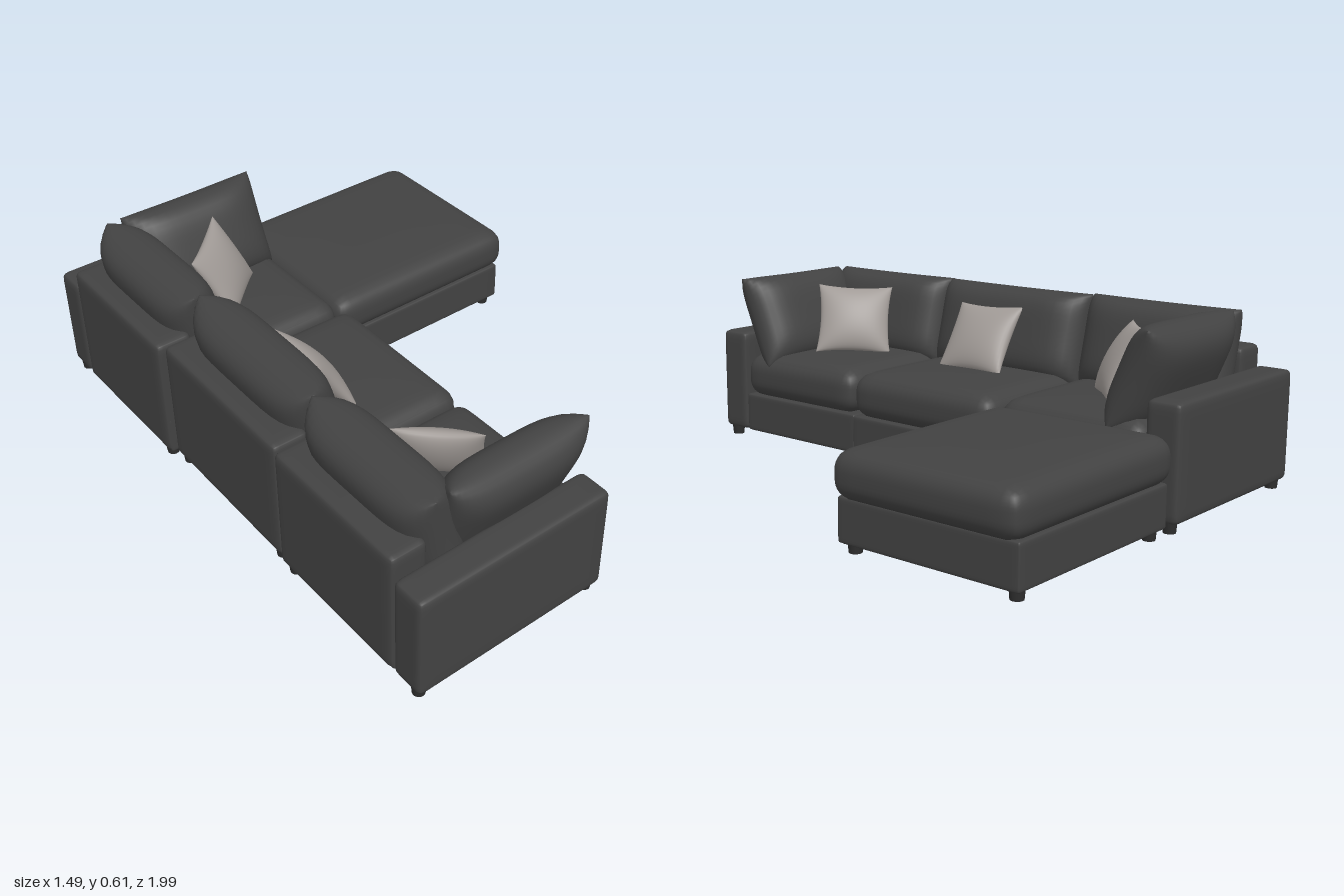
import * as THREE from 'three';
import { mergeVertices } from 'three/addons/utils/BufferGeometryUtils.js';

const mat = (name, color) => {
  const m = new THREE.MeshStandardMaterial({ color });
  m.name = name;
  return m;
};

// Move every vertex of a geometry by a rule, then weld and smooth it.
function reshape(geometry, rule) {
  geometry.deleteAttribute('uv');
  geometry.deleteAttribute('normal');
  const pos = geometry.attributes.position;
  const v = new THREE.Vector3();
  for (let i = 0; i < pos.count; i++) {
    rule(v.fromBufferAttribute(pos, i));
    pos.setXYZ(i, v.x, v.y, v.z);
  }
  const welded = mergeVertices(geometry, 1e-5);
  welded.computeVertexNormals();
  return welded;
}

const ease = s => Math.sin(s * Math.PI / 2);

// Upholstered block: rounded edges, optionally a crowned top.
function softBox(w, h, d, r, crown = 0) {
  const half = new THREE.Vector3(w / 2, h / 2, d / 2);
  const limit = half.clone().subScalar(r);
  const low = limit.clone().negate();
  const inner = new THREE.Vector3();
  return reshape(new THREE.BoxGeometry(2, 2, 2, 16, 16, 16), p => {
    p.set(ease(p.x), ease(p.y), ease(p.z));
    const bulge = p.y > 0 ? crown * p.y * (1 - p.x ** 4) * (1 - p.z ** 4) : 0;
    p.multiply(half);
    inner.copy(p).clamp(low, limit);
    p.sub(inner).setLength(r).add(inner);
    p.y += bulge;
  });
}

// Stuffed cushion: thick in the middle, thin at the seams, edges pulled in.
function pillow(w, h, t, power, pinch) {
  return reshape(new THREE.BoxGeometry(2, 2, 2, 20, 20, 1), p => {
    const u = ease(p.x), v = ease(p.y);
    const full = Math.max(0, (1 - Math.abs(u) ** power) * (1 - Math.abs(v) ** power));
    p.set(
      u * (1 - pinch * (1 - v * v)) * w / 2,
      v * (1 - pinch * (1 - u * u)) * h / 2,
      p.z * Math.sqrt(full) * t / 2
    );
  });
}

export function createModel() {
  const fabric = mat('charcoalFabric', 0x424242);
  const linen = mat('paleLinen', 0xa09a96);
  const footPaint = mat('darkFeet', 0x2e2e2e);

  const model = new THREE.Group();
  model.name = 'cornerSofa';

  const add = (parent, name, geometry, material, x, y, z) => {
    const mesh = new THREE.Mesh(geometry, material);
    mesh.name = name;
    mesh.position.set(x, y, z);
    parent.add(mesh);
    return mesh;
  };

  // Cushion facing yaw degrees and leaning back by tilt degrees.
  const lean = (mesh, yaw, tilt, roll = 0) => {
    const rad = THREE.MathUtils.degToRad;
    mesh.rotation.set(rad(-tilt), rad(yaw), rad(roll), 'YXZ');
  };

  const section = (name, x, z, turn) => {
    const group = new THREE.Group();
    group.name = name;
    group.position.set(x, 0, z);
    group.rotation.y = turn;
    model.add(group);
    return group;
  };

  const footShape = new THREE.CylinderGeometry(0.023, 0.02, 0.035, 16);
  const addFeet = (group, dx, dz) => {
    for (const sx of [-1, 1]) for (const sz of [-1, 1])
      add(group, 'foot', footShape, footPaint, sx * dx, 0.0175, sz * dz);
  };

  // Seat section; arm is +1 or -1 for an arm on that z side, 0 for none.
  function seatSection(name, x, z, turn, arm) {
    const group = section(name, x, z, turn);
    const width = arm ? 0.55 : 0.62;
    const mid = -arm * 0.06;
    add(group, 'base', softBox(0.69, 0.14, width, 0.01), fabric, 0, 0.1, mid);
    add(group, 'backrest', softBox(0.13, 0.44, width, 0.022), fabric, -0.288, 0.25, mid);
    add(group, 'seatCushion', softBox(0.6, 0.155, width - 0.004, 0.06, 0.013), fabric, 0.06, 0.243, mid);
    lean(add(group, 'backCushion', pillow(width + 0.01, 0.325, 0.21, 5, 0.012), fabric, -0.165, 0.44, mid), 90, 14);
    if (arm) {
      add(group, 'armrest', softBox(0.7, 0.37, 0.122, 0.022), fabric, 0, 0.215, arm * 0.275);
      lean(add(group, 'armCushion', pillow(0.51, 0.34, 0.18, 4, 0.025), fabric, 0.1, 0.445, arm * 0.15),
        arm > 0 ? 180 : 0, 23);
    }
    addFeet(group, 0.32, arm ? 0.295 : 0.275);
  }
  seatSection('frontSection', -0.36, 0.65, 0.018, 1);
  seatSection('middleSection', -0.36, 0, 0.008, 0);
  seatSection('cornerSection', -0.39, -0.647, 0.015, -1);

  // Long footrest
  const chaise = section('footrest', 0.35, -0.66, 0.02);
  add(chaise, 'footrestBase', softBox(0.72, 0.14, 0.64, 0.01), fabric, 0, 0.1, 0);
  add(chaise, 'footrestCushion', softBox(0.78, 0.15, 0.662, 0.06, 0.008), fabric, 0, 0.235, 0);
  addFeet(chaise, 0.32, 0.285);

  // Loose scatter pillows: x, y, z, yaw, tilt, roll
  const scatter = pillow(0.275, 0.265, 0.095, 2, 0.09);
  for (const [x, y, z, yaw, tilt, roll] of [
    [-0.31, 0.445, 0.585, 135, 27, -3],
    [-0.375, 0.43, 0.03, 90, 33, 2],
    [-0.315, 0.44, -0.6, 42, 28, 4]
  ]) lean(add(model, 'scatterPillow', scatter, linen, x, y, z), yaw, tilt, roll);

  return model;
}
